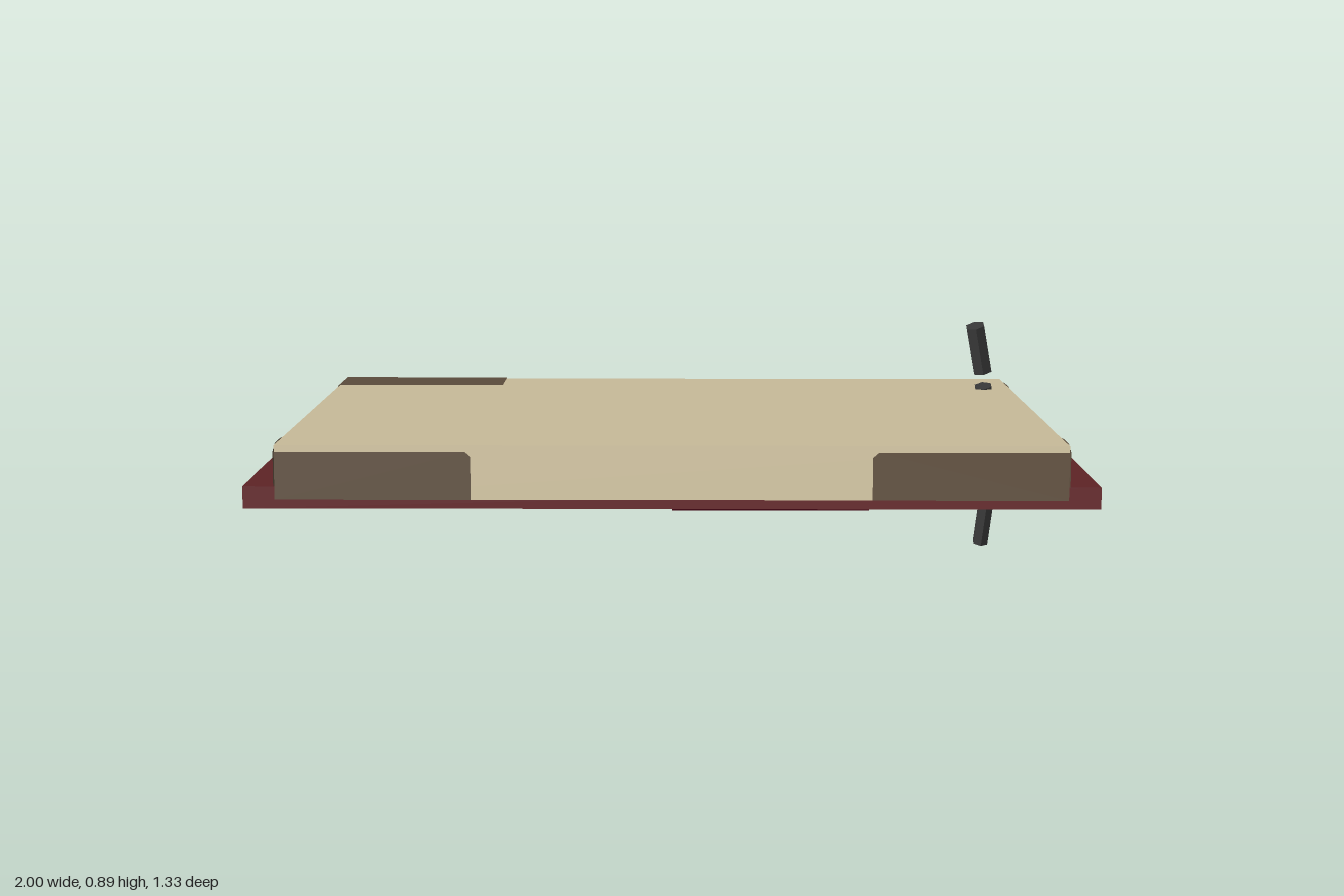
import * as THREE from 'three';

const mat = (name, color, side = THREE.FrontSide) => {
  const m = new THREE.MeshStandardMaterial({ color, side });
  m.name = name;
  return m;
};

export function createModel() {
  const cream = mat('cream', 0xd4c6a3);
  const red = mat('darkRed', 0x642629);
  const charcoal = mat('charcoal', 0x383838);
  const brown = mat('brown', 0x615140, THREE.DoubleSide);
  const maroon = mat('deepMaroon', 0x3c0410, THREE.DoubleSide);

  const model = new THREE.Group();
  model.name = 'tiltedBoard';

  // Everything in this group is tilted up towards the front
  const board = new THREE.Group();
  board.name = 'board';
  board.rotation.x = -0.388;
  model.add(board);

  const add = (parent, name, geometry, material) => {
    const mesh = new THREE.Mesh(geometry, material);
    mesh.name = name;
    parent.add(mesh);
    return mesh;
  };

  // Box from its minimum and maximum corners
  const slab = (name, lo, hi, material) => {
    const size = hi.map((v, i) => v - lo[i]);
    const mesh = add(board, name, new THREE.BoxGeometry(...size), material);
    mesh.position.set(...hi.map((v, i) => (v + lo[i]) / 2));
  };

  // Flat convex painted patch, as a fan of triangles
  const patch = (name, points, material) => {
    const tris = [];
    for (let i = 1; i < points.length - 1; i++) tris.push(...points[0], ...points[i], ...points[i + 1]);
    const g = new THREE.BufferGeometry();
    g.setAttribute('position', new THREE.Float32BufferAttribute(tris, 3));
    g.computeVertexNormals();
    add(board, name, g, material);
  };

  // Backing board and the thick block lying on it
  slab('backingBoard', [-1, 0.445, -0.51], [1, 0.497, 0.895], red);
  slab('creamBlock', [-0.922, 0.468, -0.428], [0.922, 0.596, 0.907], cream);

  // Mirrored corner patches on the front and side faces
  for (const s of [1, -1]) {
    patch('frontCornerPatch', [
      [0.922, 0.468], [0.922, 0.58], [0.48, 0.58], [0.466, 0.568], [0.466, 0.468],
    ].map(([x, y]) => [s * x, y, 0.91]), brown);
    patch('sideFrontPatch', [
      [0.497, 0.907], [0.58, 0.907], [0.596, 0.868], [0.596, 0.767], [0.497, 0.727],
    ].map(([y, z]) => [s * 0.925, y, z]), brown);
    patch('sideBackPatch', [
      [0.596, -0.241], [0.559, -0.258], [0.596, -0.36],
    ].map(([y, z]) => [s * 0.925, y, z]), brown);
  }

  // Patch on the top, and two on the underside
  const flat = (name, x0, x1, z0, z1, y, m) =>
    patch(name, [[x0, y, z0], [x0, y, z1], [x1, y, z1], [x1, y, z0]], m);
  flat('topPatch', -0.922, -0.47, -0.428, -0.243, 0.599, brown);
  flat('undersidePatch', 0, 0.46, 0.206, 0.709, 0.442, brown);
  flat('undersideStrip', 0, 0.46, 0.709, 0.895, 0.442, maroon);

  // Broken rod passing through the board: [bottom, top, radius] per piece
  const rod = new THREE.Group();
  rod.name = 'rod';
  model.add(rod);
  const pieces = [
    [[0.866, 0.003, -0.37], [0.876, 0.136, -0.379], 0.022],
    [[0.877, 0.178, -0.385], [0.867, 0.31, -0.397], 0.024],
    [[0.864, 0.352, -0.4], [0.849, 0.485, -0.412], 0.025],
    [[0.845, 0.528, -0.416], [0.818, 0.662, -0.428], 0.027],
  ];
  for (const [a, b, r] of pieces) {
    const from = new THREE.Vector3(...a), to = new THREE.Vector3(...b);
    const dir = to.clone().sub(from);
    const g = new THREE.CylinderGeometry(r, r, dir.length(), 6).toNonIndexed();
    g.computeVertexNormals();
    const mesh = add(rod, 'rodPiece', g, charcoal);
    mesh.position.copy(from).lerp(to, 0.5);
    mesh.quaternion.setFromUnitVectors(new THREE.Vector3(0, 1, 0), dir.normalize());
  }
  return model;
}
